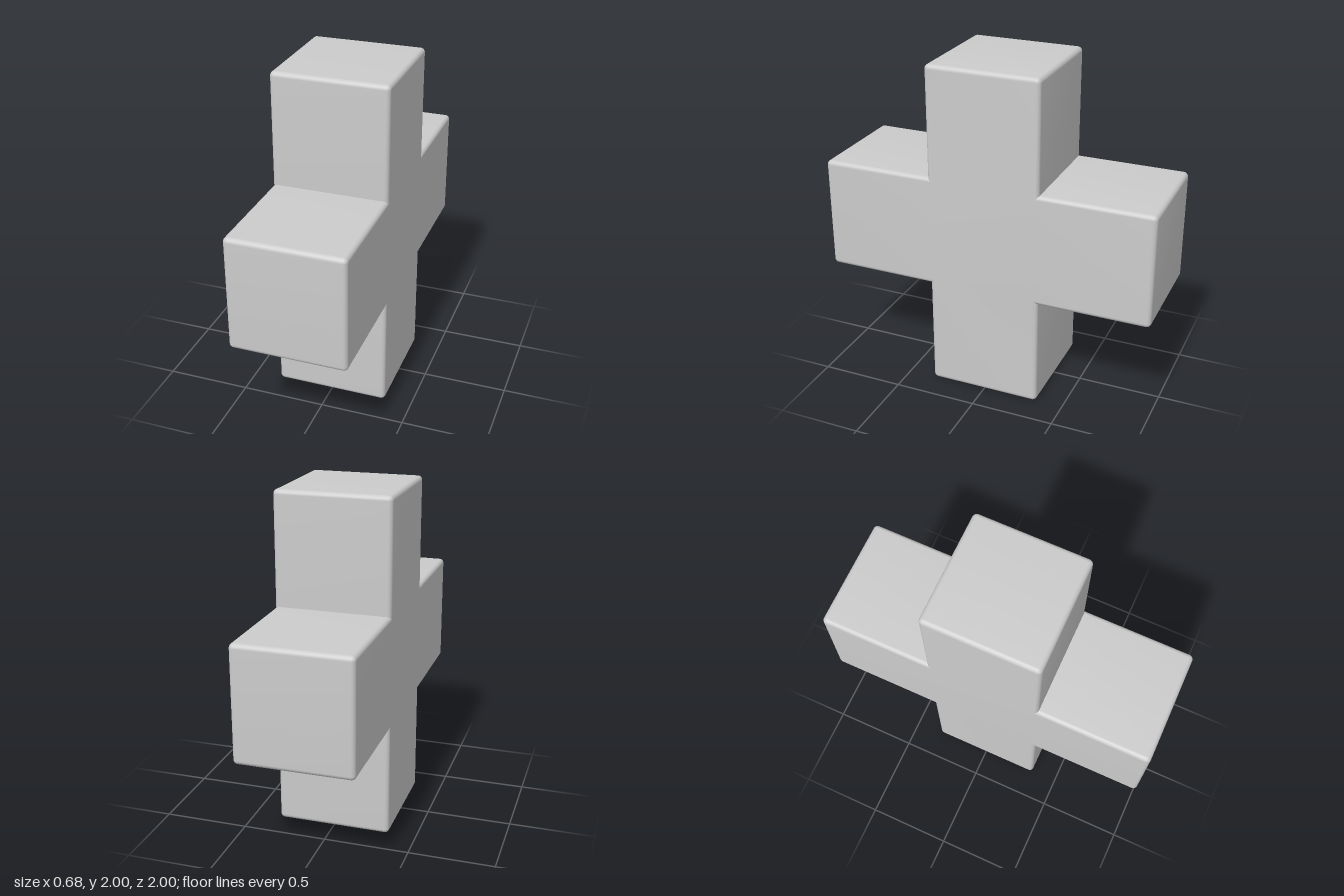
import * as THREE from 'three';
import { toCreasedNormals } from 'three/addons/utils/BufferGeometryUtils.js';

const HALF = 0.338;   // half width of each arm and half thickness of the block
const REACH = 1;      // distance from centre to arm end
const ROUND = 0.028;  // corner radius of the outline
const BEVEL = 0.026;  // edge rounding, just below ROUND so corners do not collapse

// Plus-shaped outline with rounded outer corners and sharp inner corners
function crossShape() {
  const shape = new THREE.Shape();
  const turn = (u, v, a) => new THREE.Vector2(u, v).rotateAround(new THREE.Vector2(), a);
  const q = Math.PI / 2;
  for (let k = 0; k < 4; k++) {
    const a = k * q;
    const c1 = turn(REACH - ROUND, -HALF + ROUND, a);
    const c2 = turn(REACH - ROUND, HALF - ROUND, a);
    const inner = turn(HALF, HALF, a);
    shape.absarc(c1.x, c1.y, ROUND, a - q, a, false);
    shape.absarc(c2.x, c2.y, ROUND, a, a + q, false);
    shape.lineTo(inner.x, inner.y);
  }
  shape.closePath();
  return shape;
}

export function createModel() {
  const group = new THREE.Group();
  group.name = 'crossBlock';

  const depth = 2 * (HALF - BEVEL);
  let geometry = new THREE.ExtrudeGeometry(crossShape(), {
    depth,
    curveSegments: 8,
    bevelEnabled: true,
    bevelSize: BEVEL,
    bevelOffset: -BEVEL,
    bevelThickness: BEVEL,
    bevelSegments: 8,
  });
  geometry.translate(0, 0, -depth / 2);
  geometry.rotateY(Math.PI / 2);

  // Enlarged while smoothing so the fine edge vertices stay distinct
  geometry.scale(100, 100, 100);
  geometry = toCreasedNormals(geometry, 0.35);
  geometry.scale(0.01, 0.01, 0.01);
  geometry.translate(0, REACH, 0);

  const cross = new THREE.Mesh(geometry, new THREE.MeshStandardMaterial({ color: 0xcccccc }));
  cross.name = 'cross';
  group.add(cross);
  return group;
}
